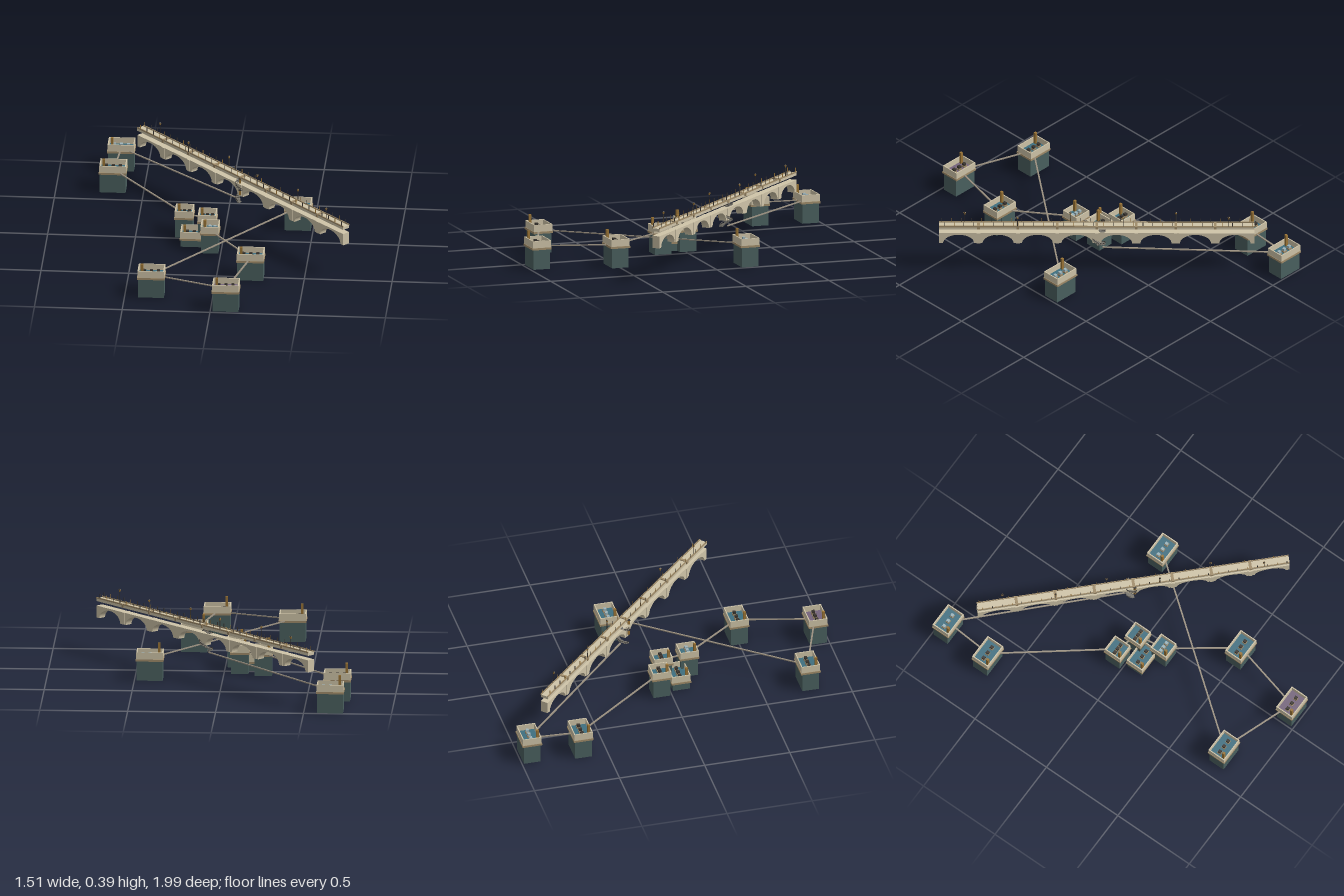
import * as THREE from 'three';

const mat = (color, side = THREE.FrontSide) =>
  new THREE.MeshStandardMaterial({ color, side, flatShading: true });
const M = {
  stone: mat(0xcfc4a8), trim: mat(0xa08c6a), base: mat(0x4a605f), teal: mat(0x3f6f80),
  purple: mat(0x75647c), dark: mat(0x3a3530), pale: mat(0x9db4bb), brass: mat(0x9a7436),
  path: mat(0x9a9080), grey: mat(0x77746c),
};

function add(parent, name, geometry, material, x = 0, y = 0, z = 0) {
  const mesh = new THREE.Mesh(geometry, material);
  mesh.name = name;
  mesh.position.set(x, y, z);
  parent.add(mesh);
  return mesh;
}
const box = (p, name, m, w, h, d, x, y, z) =>
  add(p, name, new THREE.BoxGeometry(w, h, d), m, x, y, z);

// Rooftop island: plinth, ledge, parapet, coloured floor, roof boxes and chimney
function island(x, z, w, { drop = 0, floor = M.teal, boxes = M.dark } = {}) {
  const g = new THREE.Group();
  g.name = 'island';
  g.position.set(x, 0, z);
  const d = 0.115, top = 0.113 - drop, wall = 0.04, t = 0.006;
  box(g, 'plinth', M.base, w - 0.01, top, d - 0.016, 0, top / 2, 0);
  box(g, 'ledge', M.trim, w, 0.012, d, 0, top + 0.006, 0);
  const y = top + 0.012;
  box(g, 'floor', floor, w - 0.012, 0.004, d - 0.014, 0, y + 0.002, 0);
  for (const s of [-1, 1]) {
    box(g, 'longParapet', M.stone, w - 0.006, wall, t, 0, y + wall / 2, s * (d / 2 - 0.006));
    box(g, 'sideParapet', M.stone, t, wall, d - 0.018, s * (w / 2 - 0.006), y + wall / 2, 0);
  }
  const step = w * 0.25;
  for (const i of [-1, 0, 1]) {
    box(g, 'roofBox', M.trim, 0.022, 0.012, 0.022, i * step, y + 0.008, 0);
    box(g, 'roofBoxCap', boxes, 0.017, 0.016, 0.017, i * step, y + 0.02, 0);
  }
  box(g, 'chimney', M.brass, 0.014, 0.078, 0.014, -w / 2 + 0.028, y + 0.039, 0.036);
  return g;
}

// Straight walkway between two points
function walkway(parent, a, b, width = 0.009) {
  const A = new THREE.Vector3(...a), B = new THREE.Vector3(...b);
  const m = box(parent, 'walkway', M.path, width, 0.006, A.distanceTo(B), 0, 0, 0);
  m.position.copy(A).add(B).multiplyScalar(0.5);
  m.lookAt(B);
}

// Long diagonal viaduct, built along its own x axis
function viaduct() {
  const g = new THREE.Group();
  g.name = 'viaduct';
  const L = 1.794, W = 0.05, n = 8, mod = L / n, y0 = 0.2, y1 = 0.27;
  box(g, 'deck', M.stone, L, 0.017, W - 0.004, 0, 0.305, 0);
  for (const s of [-1, 1]) box(g, 'deckCurb', M.trim, L, 0.008, 0.005, 0, 0.316, s * (W / 2 - 0.003));

  // Arch bay: rectangle with an elliptical opening from the ground line
  const s = new THREE.Shape();
  const h = mod / 2, r = h - 0.024;
  s.moveTo(-h, y0); s.lineTo(-r, y0);
  s.absellipse(0, y0, r, 0.058, Math.PI, 0, true, 0);
  s.lineTo(h, y0); s.lineTo(h, y1); s.lineTo(-h, y1); s.closePath();
  const arch = new THREE.ExtrudeGeometry(s, { depth: W - 0.006, bevelEnabled: false, curveSegments: 14 });
  arch.translate(0, 0, -(W - 0.006) / 2);
  for (let i = 0; i < n; i++) add(g, 'archBay', arch, M.stone, (i + 0.5) * mod - L / 2);
  for (let i = 1; i < n; i++) {
    const x = i * mod - L / 2;
    box(g, 'pierFacing', M.stone, 0.022, 0.07, W, x, 0.235, 0);
    box(g, 'deckBand', M.trim, 0.016, 0.018, W + 0.004, x, 0.309, 0);
  }

  // Railing posts on both edges
  for (const e of [-1, 1])
    for (let i = 0; i < 32; i++)
      box(g, 'railPost', i % 3 ? M.dark : M.brass, 0.003, 0.022, 0.003,
        -L / 2 + 0.02 + e * 0.007 + i * 0.0565, 0.331, e * 0.022);

  // Street lamps, alternating sides
  for (let i = 0; i < 6; i++) {
    const x = -0.75 + i * 0.3, z = i % 2 ? 0.023 : -0.023;
    add(g, 'lampPost', new THREE.CylinderGeometry(0.0018, 0.0025, 0.055, 6), M.dark, x, 0.347, z);
    add(g, 'lampHead', new THREE.CylinderGeometry(0.007, 0.004, 0.012, 6), M.brass, x, 0.376, z);
    add(g, 'lampCap', new THREE.ConeGeometry(0.006, 0.006, 6), M.dark, x, 0.385, z);
  }
  g.position.set(0.1, 0, -0.185);
  g.rotation.y = -Math.PI / 4;
  return g;
}

// Spiral stair hanging beneath the viaduct
function spiralStair() {
  const g = new THREE.Group();
  g.name = 'spiralStair';
  g.position.set(0.095, 0, -0.195);
  const steps = 24, rail = [];
  for (let i = 0; i < steps; i++) {
    const a = 2.2 + i * 0.4, y = 0.16 + i * 0.0057;
    const tread = box(g, 'tread', M.grey, 0.022, 0.005, 0.014,
      0.028 * Math.cos(a), y, 0.028 * Math.sin(a));
    tread.rotation.y = -a;
    rail.push(new THREE.Vector3(0.038 * Math.cos(a), y + 0.008, 0.038 * Math.sin(a)));
  }
  add(g, 'handrail', new THREE.TubeGeometry(new THREE.CatmullRomCurve3(rail), 80, 0.002, 5), M.dark);
  for (const y of [0.225, 0.295]) {
    box(g, 'lantern', M.brass, 0.012, 0.026, 0.012, -0.012, y, 0.034);
    box(g, 'lanternCap', M.dark, 0.015, 0.004, 0.015, -0.012, y + 0.015, 0.034);
  }
  return g;
}

export function createModel() {
  const model = new THREE.Group();
  model.name = 'rooftopIslands';
  const big = 0.158, small = 0.11;
  const pale = { boxes: M.pale };
  model.add(
    island(-0.65, -0.94, big, pale),
    island(-0.675, -0.645, big),
    island(-0.225, -0.06, small),
    island(-0.09, -0.015, small),
    island(-0.16, 0.065, big, { drop: 0.072 }),
    island(-0.063, 0.145, small, pale),
    island(0.195, 0.5, big),
    island(-0.35, 0.775, big),
    island(0.087, 0.935, big, { floor: M.purple }),
    island(0.413, -0.205, big, pale),
    viaduct(), spiralStair(),
  );

  // Walkways from ledge to ledge
  const y = 0.122;
  const links = [
    [-0.655, -0.89, -0.668, -0.7], [-0.63, -0.59, -0.26, -0.115], [-0.175, -0.05, -0.14, -0.04],
    [-0.08, 0.035, -0.07, 0.095], [-0.025, 0.2, 0.155, 0.445], [0.182, 0.555, 0.1, 0.88],
    [0.01, 0.905, -0.275, 0.803], [-0.305, 0.72, 0.367, -0.15],
  ];
  for (const [x1, z1, x2, z2] of links) walkway(model, [x1, y, z1], [x2, y, z2]);
  walkway(model, [-0.6, 0.126, -0.89], [0.08, 0.16, -0.21]);
  return model;
}
